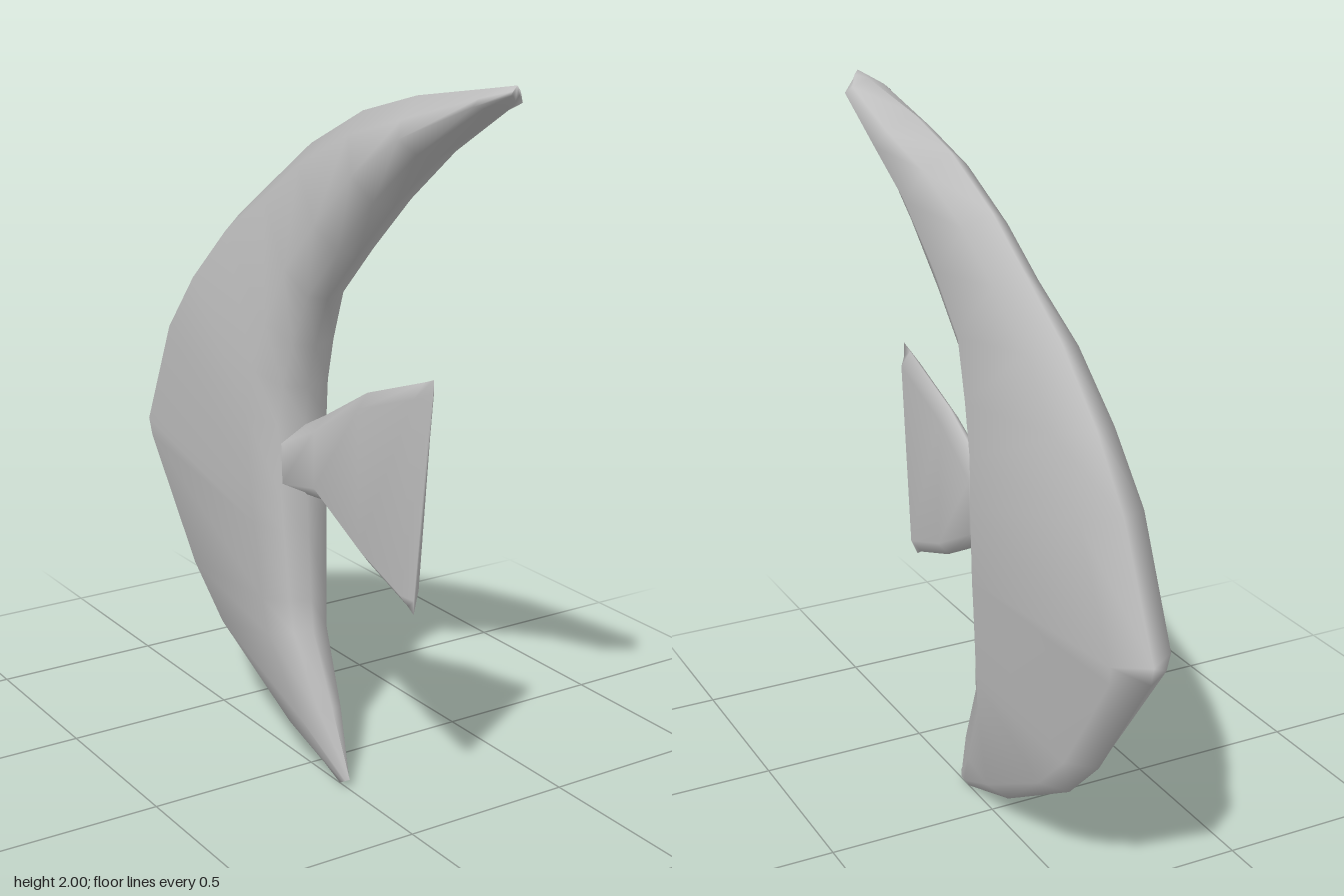
import * as THREE from 'three';

// Lofts mirrored sections. A station is [z0, y0, z1, y1, halfWidth], running from edge 0 to edge 1.
// The profile lists [inset, fromEdge1, widthFactor] for the +x side.
function loft(stations, profile) {
  const half = profile.length;
  const n = half * 2 + 2;
  const pos = [], index = [];
  for (const [z0, y0, z1, y1, w] of stations) {
    const len = Math.hypot(z1 - z0, y1 - y0);
    const put = (t, x) => pos.push(x, y0 + (y1 - y0) * t, z0 + (z1 - z0) * t);
    const side = profile.map(([inset, far, k]) => {
      const t = Math.min(inset / len, 0.35);
      return [far ? 1 - t : t, k * w];
    });
    put(0, 0);
    side.forEach(([t, x]) => put(t, x));
    put(1, 0);
    [...side].reverse().forEach(([t, x]) => put(t, -x));
  }
  for (let s = 0; s < stations.length - 1; s++) {
    for (let k = 0; k < n; k++) {
      const a = s * n + k, b = s * n + (k + 1) % n;
      index.push(a, b, a + n, b, b + n, a + n);
    }
  }
  // End caps
  const e = (stations.length - 1) * n;
  for (let k = 1; k < n - 1; k++) {
    index.push(0, k + 1, k, e, e + k, e + k + 1);
  }
  const g = new THREE.BufferGeometry();
  g.setAttribute('position', new THREE.Float32BufferAttribute(pos, 3));
  g.setIndex(index);
  g.computeVertexNormals();
  return g;
}

export function createModel() {
  const grey = new THREE.MeshStandardMaterial({ color: 0xc0c0c0 });
  grey.name = 'pale grey';
  const group = new THREE.Group();
  group.name = 'crescentFish';

  // Crescent body, from the upper fin tip round the nose to the lower tip
  const bodyStations = [
    [0.85, 2.0, 0.845, 1.965, 0.015],
    [0.77, 1.987, 0.79, 1.93, 0.07],
    [0.47, 1.94, 0.56, 1.8, 0.095],
    [0.24, 1.88, 0.38, 1.66, 0.095],
    [0.0, 1.77, 0.22, 1.51, 0.092],
    [-0.17, 1.66, 0.08, 1.37, 0.094],
    [-0.37, 1.53, 0.02, 1.23, 0.11],
    [-0.55, 1.36, -0.015, 1.11, 0.12],
    [-0.69, 1.18, -0.03, 1.0, 0.13],
    [-0.845, 0.85, -0.02, 0.8, 0.122],
    [-0.835, 0.8, -0.015, 0.7, 0.115],
    [-0.6, 0.45, 0.0, 0.5, 0.1],
    [-0.45, 0.3, 0.01, 0.41, 0.09],
    [-0.1, 0.09, 0.11, 0.21, 0.06],
    [0.15, 0.0, 0.2, 0.03, 0.01],
  ];
  const body = new THREE.Mesh(
    loft(bodyStations, [[0.06, 0, 0.7], [0.1, 1, 1], [0.015, 1, 0.6]]), grey);
  body.name = 'body';
  group.add(body);

  // Tail fin, from its root inside the body to the trailing edge
  const tailStations = [
    [-0.12, 0.8, -0.12, 0.94, 0.075],
    [-0.04, 0.8, -0.03, 1.0, 0.07],
    [0.07, 0.81, 0.07, 1.05, 0.036],
    [0.28, 0.7, 0.27, 1.16, 0.03],
    [0.465, 0.635, 0.52, 1.245, 0.03],
    [0.49, 0.62, 0.56, 1.26, 0.003],
  ];
  const tail = new THREE.Mesh(loft(tailStations, [[0.04, 0, 1], [0.04, 1, 1]]), grey);
  tail.name = 'tailFin';
  group.add(tail);

  return group;
}
